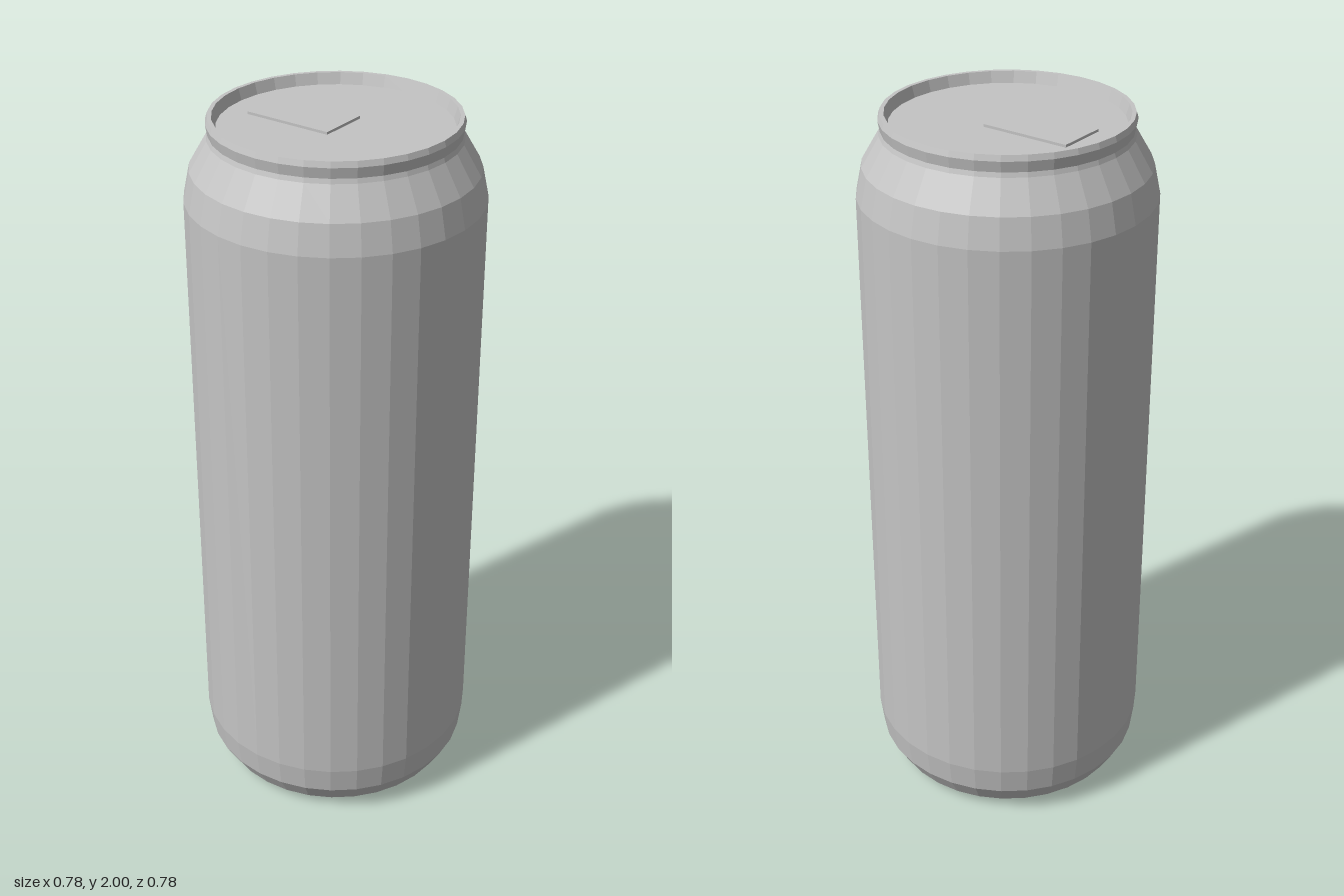
import * as THREE from 'three';

const SIDES = 32;

export function createModel() {
  const can = new THREE.Group();
  can.name = 'drinkCan';

  const aluminium = new THREE.MeshStandardMaterial({ color: 0xc4c4c4 });
  aluminium.name = 'aluminium';
  aluminium.flatShading = true;

  // Turns a list of [radius, height] points into a faceted part
  const addTurned = (name, profile) => {
    const points = profile.map(([r, y]) => new THREE.Vector2(r, y));
    const mesh = new THREE.Mesh(new THREE.LatheGeometry(points, SIDES), aluminium);
    mesh.name = name;
    can.add(mesh);
  };

  // Recessed underside, from its centre out to the standing ring
  addTurned('base', [[0, 0.1], [0.2, 0.085], [0.295, 0]]);

  // Outer wall with rounded foot, straight side and tapered shoulder
  addTurned('body', [
    [0.295, 0], [0.31, 0.004], [0.345, 0.03], [0.38, 0.09], [0.39, 0.17],
    [0.39, 1.785], [0.373, 1.865], [0.326, 1.945],
  ]);

  // Rolled rim, stepping down inside to the lid
  addTurned('rim', [
    [0.326, 1.945], [0.322, 1.957], [0.327, 1.985], [0.322, 2], [0.311, 2], [0.302, 1.97],
  ]);

  // Flat lid
  addTurned('lid', [[0.302, 1.97], [0, 1.97]]);

  // Thin pull tab lying on the lid, towards the back
  const tab = new THREE.Mesh(new THREE.BoxGeometry(0.14, 0.008, 0.25), aluminium);
  tab.name = 'pullTab';
  tab.position.set(0, 1.973, -0.101);
  can.add(tab);

  return can;
}
